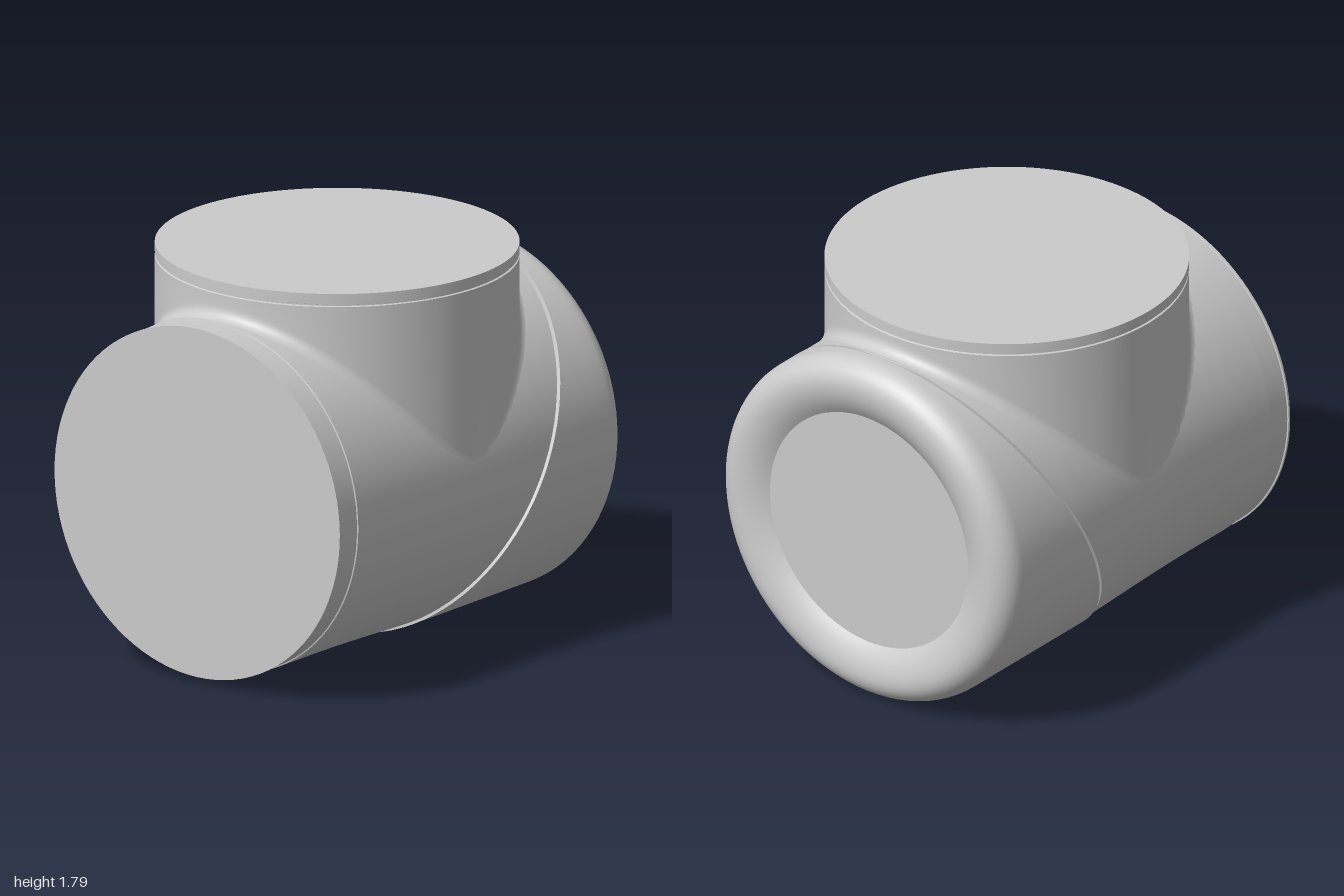
import * as THREE from 'three';
import { toCreasedNormals } from 'three/addons/utils/BufferGeometryUtils.js';

const SEG = 96;
const CY = 0.83;      // height of the main axis
const CAP_R = 0.825;  // rear cap radius
const PIPE_R = 0.8;   // upright branch radius
const PIPE_Z = 0.012; // upright branch axis

const material = new THREE.MeshStandardMaterial({ color: 0xcccccc });

// Skin a list of closed rings; each ring is a function angle -> [x, y, z].
function loft(name, rings) {
  const pos = [], index = [];
  for (const ring of rings) {
    for (let j = 0; j < SEG; j++) pos.push(...ring((j / SEG) * Math.PI * 2));
  }
  for (let i = 0; i < rings.length - 1; i++) {
    for (let j = 0; j < SEG; j++) {
      const a = i * SEG + j, b = i * SEG + (j + 1) % SEG;
      index.push(a, a + SEG, b, b, a + SEG, b + SEG);
    }
  }
  const g = new THREE.BufferGeometry();
  g.setAttribute('position', new THREE.Float32BufferAttribute(pos, 3));
  g.setIndex(index);
  const mesh = new THREE.Mesh(toCreasedNormals(g, 0.5), material);
  mesh.name = name;
  return mesh;
}

// Ring around the main (z) axis
const ringZ = (r, z) => (a) => [r * Math.cos(a), CY + r * Math.sin(a), z];
// Ring around the upright (y) axis
const ringY = (r, y) => (a) => [r * Math.sin(a), y, PIPE_Z + r * Math.cos(a)];

// Main tube widens gently towards the back
const bodyRadius = (z) => 0.797 + 0.025 * THREE.MathUtils.smoothstep(-z, -0.65, 0.5);
// Slanted seam between body and cap
const seamZ = (a) => -0.01 - 0.509 * (CY - 0.005 + CAP_R * Math.sin(a));
const GAP = 0.01;

// Ring lying on the slanted seam, shifted along z
const seamRing = (r, dz) => (a) => ringZ(r, seamZ(a) + dz)(a);

// Height of the main tube's upper surface under a point
function bodyTop(x, z) {
  const r = bodyRadius(z);
  return CY + Math.sqrt(Math.max(0, r * r - x * x));
}

// Blend of the upright branch into the main tube, t = 0 (branch) to 1 (tube)
const filletRing = (t) => (a) => {
  const f = 0.06 * Math.abs(Math.cos(a)) + 0.002;
  const topAt = (r) => bodyTop(r * Math.sin(a), PIPE_Z + r * Math.cos(a));
  const y0 = topAt(PIPE_R), y1 = topAt(PIPE_R + f) - 0.002;
  const u = 1 - t;
  const r = PIPE_R + f * t * t;
  const y = u * u * (y0 + f) + 2 * u * t * y0 + t * t * y1;
  return ringY(r, y)(a);
};

export function createModel() {
  const model = new THREE.Group();
  model.name = 'pipeTee';

  // Front collar with closed end, thin lip and a hairline step
  model.add(loft('frontCollar', [
    [0, 1], [0.798, 1], [0.798, 0.99], [0.791, 0.988], [0.791, 0.87], [0.797, 0.868],
  ].map(([r, z]) => ringZ(r, z))));

  // Main tube, cut off at the slant
  const bodyRings = [];
  for (let i = 0; i <= 16; i++) {
    bodyRings.push((a) => {
      const z = THREE.MathUtils.lerp(0.868, seamZ(a) + GAP, i / 16);
      return ringZ(bodyRadius(z), z)(a);
    });
  }
  model.add(loft('mainTube', bodyRings));

  // Narrow groove along the seam
  model.add(loft('seamGroove', [
    (a) => ringZ(bodyRadius(seamZ(a) + GAP), seamZ(a) + GAP)(a),
    seamRing(0.803, GAP), seamRing(0.803, -GAP), seamRing(CAP_R, -GAP),
  ]));

  // Rear cap: straight wall, rounded rim, shallow dished face
  const capRings = [];
  for (let i = 0; i <= 4; i++) {
    capRings.push((a) => ringZ(CAP_R, THREE.MathUtils.lerp(seamZ(a) - GAP, -0.885, i / 4))(a));
  }
  for (let i = 1; i <= 10; i++) {
    const t = (i / 10) * Math.PI / 2;
    capRings.push(ringZ(CAP_R - 0.115 * (1 - Math.cos(t)), -0.885 - 0.115 * Math.sin(t)));
  }
  for (let i = 1; i <= 8; i++) {
    const t = i / 8;
    capRings.push(ringZ(0.71 - 0.15 * t, -1 + 0.055 * t * t));
  }
  capRings.push(ringZ(0, -0.945));
  model.add(loft('rearCap', capRings));

  // Upright branch with top collar, hairline groove and blended foot
  const branchRings = [
    [0, 1.795], [PIPE_R, 1.795], [PIPE_R, 1.747], [0.791, 1.744], [0.791, 1.738], [PIPE_R, 1.735],
  ].map(([r, y]) => ringY(r, y));
  for (let i = 0; i <= 8; i++) branchRings.push(filletRing(i / 8));
  model.add(loft('uprightBranch', branchRings));

  return model;
}
